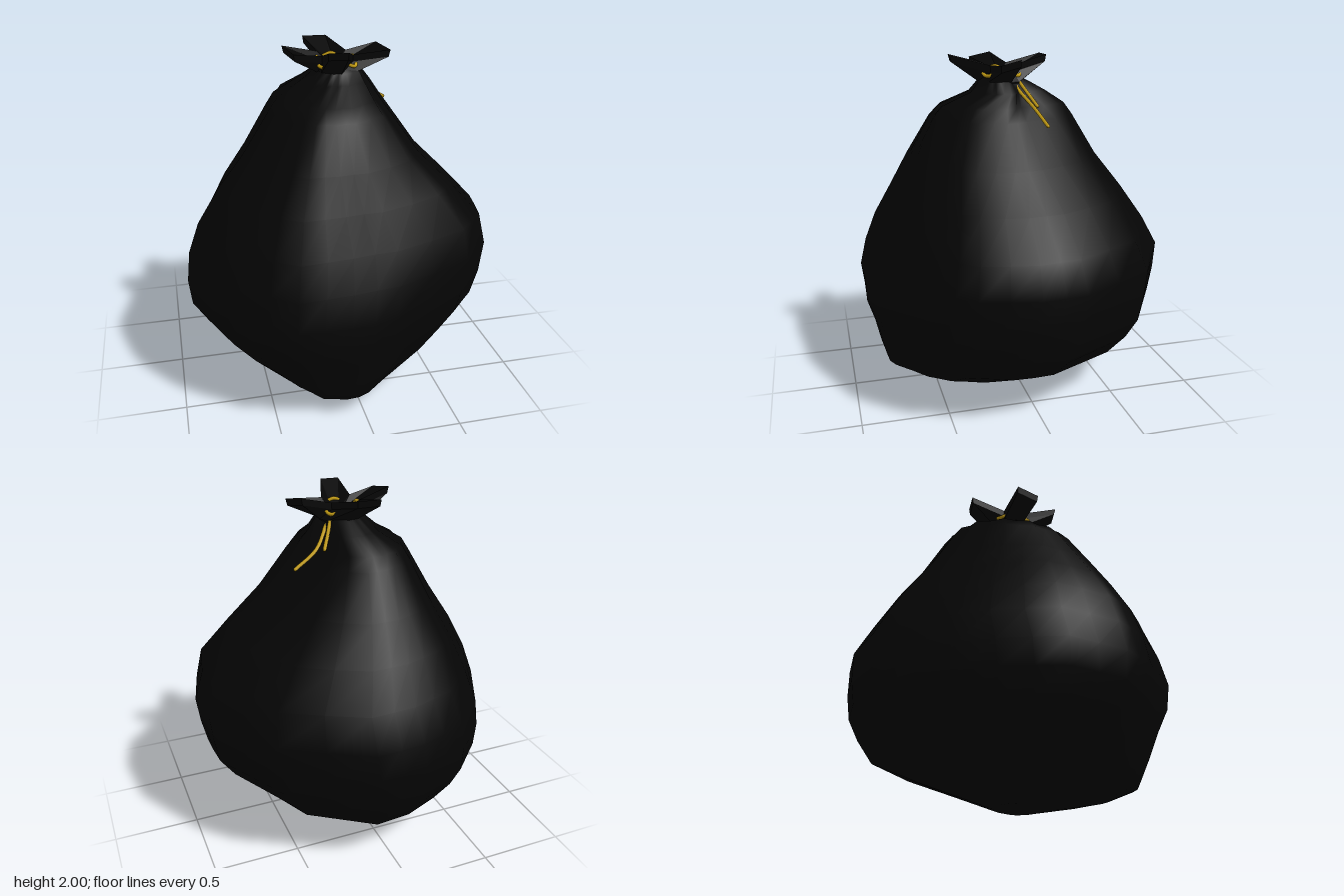
import * as THREE from 'three';

const black = new THREE.MeshStandardMaterial({ name: 'black plastic', color: 0x050505 });
const yellow = new THREE.MeshStandardMaterial({ name: 'yellow cord', color: 0xc8a014 });

// Skin through closed rings of [x, y, z] points, listed from bottom to top
function loft(rings) {
  const n = rings[0].length, index = [];
  for (let r = 0; r < rings.length - 1; r++) {
    for (let i = 0; i < n; i++) {
      const a = r * n + i, b = r * n + (i + 1) % n, c = a + n, d = b + n;
      index.push(a, c, b, b, c, d);
    }
  }
  const geo = new THREE.BufferGeometry();
  geo.setAttribute('position', new THREE.Float32BufferAttribute(rings.flat(2), 3));
  geo.setIndex(index);
  geo.computeVertexNormals();
  return geo;
}

function addMesh(group, name, geo, material) {
  const mesh = new THREE.Mesh(geo, material);
  mesh.name = name;
  group.add(mesh);
}

// Widest outline of the sack, seen from above (x, z)
const OUTLINE = [
  [-0.93, 0.16], [-0.83, -0.2], [-0.64, -0.58], [-0.42, -0.8], [-0.13, -0.9], [0.16, -0.92],
  [0.64, -0.64], [0.9, -0.17], [0.92, 0.1], [0.83, 0.43], [0.64, 0.64], [0.17, 0.86],
  [-0.1, 0.9], [-0.4, 0.91], [-0.67, 0.7], [-0.82, 0.51],
];

// Levels: y, xMin, xMax, zMin, zMax, roundness, dent beside the cord
const LEVELS = [
  [0.01, 0.03, 0.03, 0.13, 0.13, 0, 0],
  [0.0, -0.12, 0.21, -0.04, 0.3, 0, 0],
  [0.04, -0.41, 0.28, -0.24, 0.64, 0, 0],
  [0.11, -0.51, 0.41, -0.44, 0.81, 0, 0],
  [0.23, -0.7, 0.64, -0.74, 0.85, 0, 0],
  [0.37, -0.83, 0.78, -0.83, 0.88, 0, 0],
  [0.5, -0.91, 0.87, -0.89, 0.92, 0, 0],
  [0.65, -0.92, 0.9, -0.91, 0.92, 0, 0],
  [0.82, -0.89, 0.92, -0.91, 0.86, 0, 0],
  [1.0, -0.82, 0.86, -0.81, 0.78, 0.1, 0],
  [1.2, -0.7, 0.67, -0.68, 0.68, 0.3, 0],
  [1.4, -0.56, 0.47, -0.53, 0.6, 0.5, 0.03],
  [1.64, -0.41, 0.3, -0.39, 0.48, 0.8, 0.1],
  [1.71, -0.36, 0.25, -0.34, 0.42, 1, 0.2],
  [1.79, -0.22, 0.2, -0.21, 0.25, 1, 0.3],
  [1.85, -0.15, 0.15, -0.1, 0.2, 1, 0.15],
  [1.88, -0.1, 0.1, -0.04, 0.16, 1, 0],
];

function sackGeometry() {
  // Double the outline points so that pleats can fold in between them
  const pts = OUTLINE.flatMap(([x, z], i) => {
    const [u, w] = OUTLINE[(i + 1) % OUTLINE.length];
    return [[x / 0.92, z / 0.92], [(x + u) / 1.84, (z + w) / 1.84]];
  });
  return loft(LEVELS.map(([y, x0, x1, z0, z1, round, dent]) => {
    // Front corners are tucked in low down and fuller at the shoulders
    const bulge = Math.min(0.17 * y - 0.12, Math.max(0, 0.18 - 0.1 * y));
    return pts.map(([x, z], i) => {
      let k = 1 + round * (1 / Math.hypot(x, z) - 1);
      k *= 1 + bulge * 2 * Math.max(0, z) * Math.abs(x);
      if (i % 2) k *= 1 - dent * 0.3;
      if (i >= 12 && i <= 14) k *= 1 - dent;
      return [(x0 + x1) / 2 + x * k * (x1 - x0) / 2, y, (z0 + z1) / 2 + z * k * (z1 - z0) / 2];
    });
  }));
}

// Gathered mouth: four flared lobes with valleys between them (x, y, z)
const NECK_Z = 0.06;
const CROWN = [
  [-0.27, 1.955, 0.19], [-0.31, 1.98, 0.05], [-0.1, 1.93, 0.0],
  [-0.14, 1.98, -0.22], [0.0, 1.98, -0.22], [0.07, 1.93, 0.0],
  [0.25, 1.97, 0.0], [0.3, 1.945, 0.13], [0.08, 1.93, 0.14],
  [0.0, 1.985, 0.36], [-0.11, 1.985, 0.35], [-0.1, 1.93, 0.14],
];

function crownGeometry() {
  const circle = (radius, y) => CROWN.map(([x, , z]) => {
    const len = Math.hypot(x, z - NECK_Z);
    return [x / len * radius, y, NECK_Z + (z - NECK_Z) / len * radius];
  });
  const lower = CROWN.map(([x, y, z]) => [x * 0.97, y - 0.025, z * 0.97]);
  const upper = CROWN.map(([x, y, z]) => [x, y + 0.015, z]);
  const geo = loft([circle(0.13, 1.82), circle(0.135, 1.85), lower, upper, circle(0.04, 1.88), circle(0, 1.87)])
    .toNonIndexed();
  geo.computeVertexNormals();
  return geo;
}

const CORD_RADIUS = 0.011;

function cord(points, closed = false, steps = 12) {
  const curve = new THREE.CatmullRomCurve3(points.map(p => new THREE.Vector3(...p)), closed);
  return new THREE.TubeGeometry(curve, steps, CORD_RADIUS, 6, closed);
}

export function createModel() {
  const group = new THREE.Group();
  group.name = 'tiedSack';

  addMesh(group, 'sack', sackGeometry(), black);
  addMesh(group, 'gatheredMouth', crownGeometry(), black);

  // Drawstring: over the root of each lobe, down around each valley
  const loop = [];
  for (let i = 0; i < 40; i++) {
    const t = i / 40 * Math.PI * 2, wave = Math.cos(4 * t), r = 0.118 - 0.014 * wave;
    loop.push([r * Math.cos(t) - 0.01, 1.905 + 0.02 * wave, NECK_Z + 0.005 + r * Math.sin(t)]);
  }
  addMesh(group, 'drawstring', cord(loop, true, 100), yellow);

  // Loose ends with capped tips
  const tails = [
    [[0.06, 1.89, 0.0], [0.09, 1.85, -0.03], [0.12, 1.79, -0.07], [0.16, 1.715, -0.12]],
    [[0.07, 1.89, 0.02], [0.11, 1.82, -0.01], [0.2, 1.71, -0.09], [0.34, 1.625, -0.13]],
  ];
  tails.forEach((points) => {
    addMesh(group, 'cordEnd', cord(points), yellow);
    const tip = new THREE.SphereGeometry(CORD_RADIUS, 6, 4);
    tip.translate(...points[3]);
    addMesh(group, 'cordTip', tip, yellow);
  });

  return group;
}
